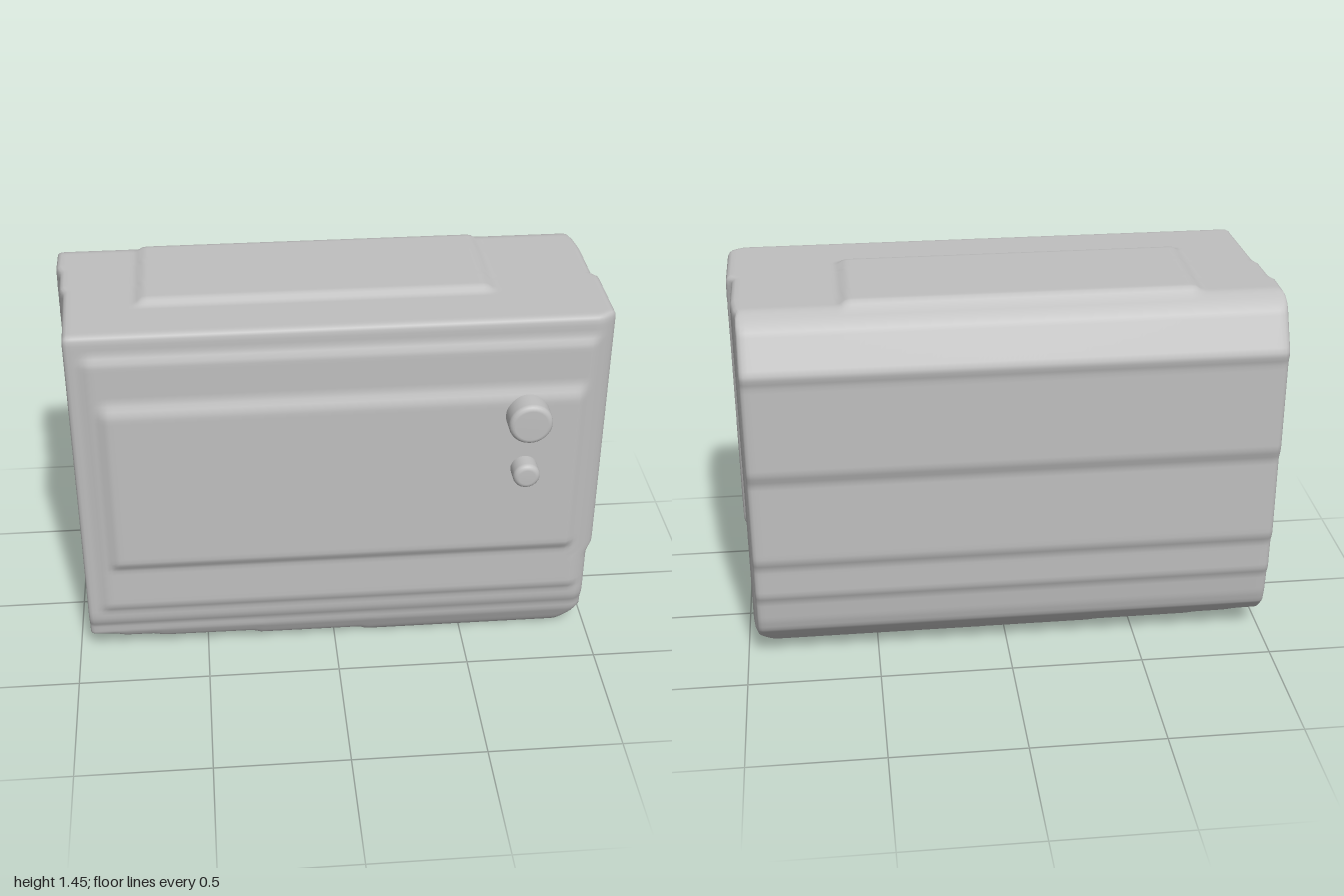
import * as THREE from 'three';
import { mergeVertices } from 'three/addons/utils/BufferGeometryUtils.js';

const { clamp, lerp, smoothstep } = THREE.MathUtils;

// Piecewise linear lookup in [input, output] pairs
function along(table, t) {
  if (t <= table[0][0]) return table[0][1];
  for (let i = 1; i < table.length; i++) {
    const [a, va] = table[i - 1], [b, vb] = table[i];
    if (t <= b) return lerp(va, vb, (t - a) / (b - a));
  }
  return table[table.length - 1][1];
}

// 1 inside an interval, with soft edges of width s
const band = (t, a, b, s = 0.03) => smoothstep(t, a - s / 2, a + s / 2) * (1 - smoothstep(t, b - s / 2, b + s / 2));

// Case outlines: front and back depth by height, end positions by depth, stepped underside
const FRONT = [[0, 0.27], [0.03, 0.29], [0.1, 0.325], [0.14, 0.33], [0.17, 0.345], [0.2, 0.35], [1.43, 0.353]];
const BACK = [[0, -0.22], [0.03, -0.245], [0.05, -0.27], [0.1, -0.325], [0.15, -0.37], [0.2, -0.385], [0.29, -0.395],
  [0.32, -0.41], [0.44, -0.413], [0.48, -0.43], [0.8, -0.432], [0.85, -0.45], [1.2, -0.452], [1.235, -0.465],
  [1.39, -0.385], [1.43, -0.32]];
const RIGHT = [[-0.46, 0.953], [-0.31, 0.957], [-0.28, 0.967], [-0.24, 0.972], [-0.2, 0.977], [0.35, 0.978]];
const LEFT = [[-0.46, -1], [-0.2, -1], [-0.16, -0.984], [-0.03, -0.98], [0, -0.966], [0.3, -0.955]];
const FLOOR = [[-1, 0.085], [-0.9, 0.08], [-0.86, 0.062], [-0.74, 0.06], [-0.7, 0.045], [-0.33, 0.042],
  [-0.29, 0.025], [0.13, 0.023], [0.17, 0]];

function caseGeometry() {
  const W = 2, H = 1.43, D = 0.84, R = 0.025;
  let geo = new THREE.BoxGeometry(W, H, D, 110, 84, 56);
  geo.deleteAttribute('uv');
  geo.deleteAttribute('normal');
  geo = mergeVertices(geo);
  const pos = geo.attributes.position;
  const p = new THREE.Vector3(), c = new THREE.Vector3();
  for (let i = 0; i < pos.count; i++) {
    // Round the edges of the plain box
    p.fromBufferAttribute(pos, i);
    c.set(clamp(p.x, R - W / 2, W / 2 - R), clamp(p.y, R - H / 2, H / 2 - R), clamp(p.z, R - D / 2, D / 2 - R));
    p.sub(c).setLength(R).add(c);
    const u = p.x / W + 0.5, w = p.z / D + 0.5;
    let y = p.y + H / 2;

    // Stepped underside
    let floor = along(FLOOR, p.x);
    floor = Math.max(floor, 0.02 * (1 - smoothstep(w, 0.2, 0.26)));
    y += floor * Math.max(0, 1 - y / 0.15);

    // Side profile, then end faces with the raised panel and lower chamfer
    let z = lerp(along(BACK, y), along(FRONT, y), w);
    const panel = 0.022 * smoothstep(z, 0.01, 0.04) * smoothstep(y, 0.37, 0.42);
    const chamfer = 0.09 * Math.max(0, 1 - y / 0.1);
    const x = lerp(along(LEFT, z), along(RIGHT, z) + panel - chamfer, u);

    // Two raised front panels and the softened front corner
    const outer = band(x, -0.89, 0.93, 0.05) * (band(y, 0.24, 1.34, 0.04));
    const inner = band(x, -0.84, 0.895, 0.04) * smoothstep(y, 0.43, 0.47) * (1 - smoothstep(y, 1.11, 1.18));
    z += (0.016 * outer + 0.022 * inner - 0.035 * smoothstep(x, 0.93, 1.01)) * smoothstep(w, 0.5, 1);

    // Raised panel on top
    if (y > 1.42) y += 0.02 * band(x, -0.69, 0.58, 0.04) * band(z, -0.31, 0.13, 0.04);
    pos.setXYZ(i, x, y, z);
  }
  geo.computeVertexNormals();
  return geo;
}

// Round-edged knob facing +z, sunk slightly into the front
function knob(name, radius, y, front, material) {
  const b = 0.02, len = front - 0.37;
  const pts = [new THREE.Vector2(radius, 0), new THREE.Vector2(radius, len - b)];
  for (let i = 1; i <= 4; i++) {
    const a = (i / 4) * Math.PI / 2;
    pts.push(new THREE.Vector2(radius - b + b * Math.cos(a), len - b + b * Math.sin(a)));
  }
  pts.push(new THREE.Vector2(0, len));
  const mesh = new THREE.Mesh(new THREE.LatheGeometry(pts, 32), material);
  mesh.name = name;
  mesh.rotation.x = Math.PI / 2;
  mesh.position.set(0.69, y, 0.37);
  return mesh;
}

export function createModel() {
  const grey = new THREE.MeshStandardMaterial({ color: 0xbfbfbf });
  grey.name = 'light grey';
  const group = new THREE.Group();
  group.name = 'panelledCase';
  const body = new THREE.Mesh(caseGeometry(), grey);
  body.name = 'caseBody';
  group.add(body, knob('largeKnob', 0.08, 1.06, 0.47, grey), knob('smallKnob', 0.05, 0.83, 0.46, grey));
  return group;
}
